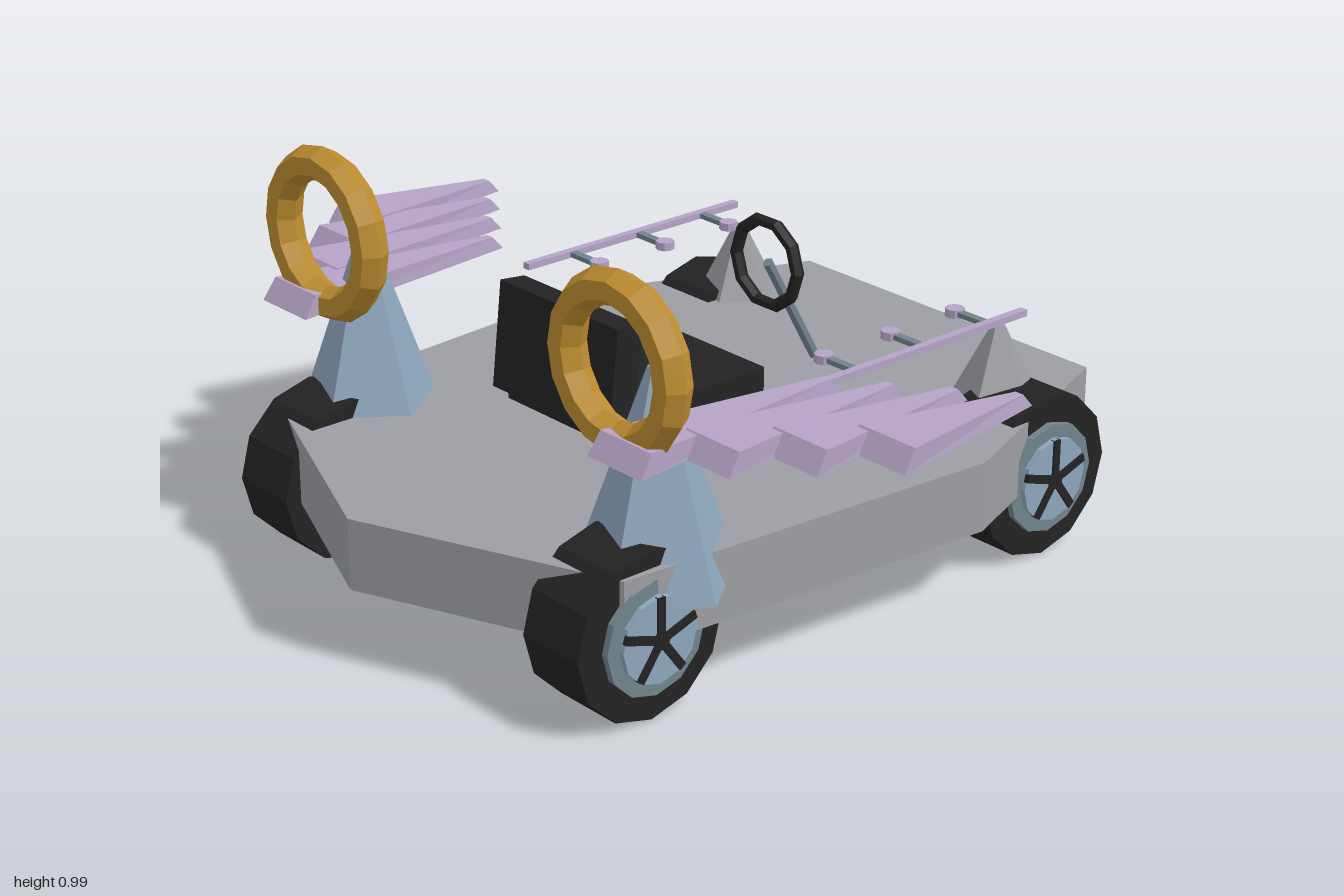
import * as THREE from 'three';

const mat = (name, color) => {
  const m = new THREE.MeshStandardMaterial({ color });
  m.name = name;
  return m;
};

// Faceted copy of a geometry
const facet = (g) => {
  const f = g.index ? g.toNonIndexed() : g;
  f.computeVertexNormals();
  return f;
};

export function createModel() {
  const grey = mat('bodyGrey', 0x9d9ea3);
  const blue = mat('coneBlue', 0x8ea6bd);
  const steel = mat('steelGrey', 0x71848c);
  const black = mat('black', 0x232323);
  const gold = mat('gold', 0xbd8c30);
  const lilac = mat('lilac', 0xb5a3c6);

  const model = new THREE.Group();
  const add = (parent, name, geo, material, x = 0, y = 0, z = 0) => {
    const mesh = new THREE.Mesh(facet(geo), material);
    mesh.name = name;
    mesh.position.set(x, y, z);
    parent.add(mesh);
    return mesh;
  };
  const box = (w, h, d) => new THREE.BoxGeometry(w, h, d);
  const rodX = (r, length, sides) =>
    new THREE.CylinderGeometry(r, r, length, sides).rotateZ(Math.PI / 2);

  // Chassis slab with a pointed front
  const outline = [[0, 0.91], [0.62, 0.66], [0.7, -0.33], [0.48, -0.915],
    [-0.48, -0.915], [-0.7, -0.33], [-0.62, 0.66]];
  const shape = new THREE.Shape(outline.map(([x, z]) => new THREE.Vector2(x, -z)));
  add(model, 'chassis',
    new THREE.ExtrudeGeometry(shape, { depth: 0.17, bevelEnabled: false }).rotateX(-Math.PI / 2),
    grey, 0, 0.185, 0);

  // Wheel with rim, hub disc and five spokes on its outer side
  const wheel = (name, side, z) => {
    const g = new THREE.Group();
    g.name = name;
    g.position.set(side * 0.521, 0.2, z);
    add(g, 'tyre', rodX(0.2, 0.178, 12), black);
    add(g, 'rim', rodX(0.135, 0.02, 12), steel, side * 0.096);
    add(g, 'hubDisc', rodX(0.102, 0.02, 12), blue, side * 0.109);
    add(g, 'hubCap', rodX(0.022, 0.016, 10), black, side * 0.117);
    for (let i = 0; i < 5; i++) {
      const spoke = box(0.012, 0.1, 0.02).translate(0, 0.05, 0).rotateX(i * Math.PI * 0.4);
      add(g, 'spoke', spoke, black, side * 0.118);
    }
    model.add(g);
  };

  // Five-sided pylon, one edge towards +x
  const pylon = (name, material, x, z, rTop, rBase, y0, y1) =>
    add(model, name,
      new THREE.CylinderGeometry(rTop, rBase, y1 - y0, 5).rotateY(Math.PI / 2),
      material, x, (y0 + y1) / 2, z);

  // Tapered feather: wide at the front, narrow at the back, bottom longer than top
  const feather = (length) => {
    const g = box(1, 1, 1);
    const p = g.attributes.position;
    for (let i = 0; i < p.count; i++) {
      const top = p.getY(i) > 0;
      const front = p.getZ(i) > 0;
      const half = front ? (top ? 0.08 : 0.084) : 0.011;
      p.setXYZ(i, Math.sign(p.getX(i)) * half,
        top ? (front ? 0.05 : 0.034) : 0,
        front ? (top ? -0.033 : 0) : -length + (top ? 0.03 : 0));
    }
    return g;
  };

  for (const side of [-1, 1]) {
    const label = side > 0 ? 'left' : 'right';
    wheel(label + 'FrontWheel', side, 0.578);
    wheel(label + 'RearWheel', side, -0.635);
    pylon(label + 'FrontPylon', blue, side * 0.51, 0.475, 0.02, 0.188, 0.265, 0.75);
    pylon(label + 'RearPylon', grey, side * 0.445, -0.635, 0.014, 0.13, 0.3, 0.533);

    // Upright ring above the front wheel
    add(model, label + 'Ring', new THREE.TorusGeometry(0.167, 0.042, 6, 16),
      gold, side * 0.512, 0.783, 0.578);

    // Wing of four stepped feathers
    const wing = new THREE.Group();
    wing.name = label + 'Wing';
    for (let i = 0; i < 4; i++) {
      add(wing, 'feather', feather(0.63 - i * 0.057), lilac,
        side * (0.583 + i * 0.11), 0.596, 0.655 - i * 0.14);
    }
    model.add(wing);

    // Side rail with three knobbed pegs
    const rail = new THREE.Group();
    rail.name = label + 'Rail';
    rail.position.set(side * 0.495, 0.568, 0);
    add(rail, 'railBar', box(0.02, 0.016, 0.68), lilac, 0, 0, -0.325);
    for (const z of [-0.125, -0.335, -0.545]) {
      add(rail, 'peg', box(0.1, 0.012, 0.02), steel, side * -0.05, 0, z);
      add(rail, 'knob', new THREE.CylinderGeometry(0.023, 0.023, 0.02, 8), lilac,
        side * -0.106, 0, z);
    }
    model.add(rail);
  }

  // Seat facing the steering wheel, its back leaning forward a little
  const seat = new THREE.Group();
  seat.name = 'seat';
  add(seat, 'seatCushion', box(0.41, 0.09, 0.42), black, 0, 0.445, 0.095);
  const back = new THREE.Group();
  back.name = 'seatBack';
  back.position.set(0, 0.565, 0.3);
  back.rotation.x = -0.11;
  add(back, 'backFrame', box(0.41, 0.255, 0.07), black);
  add(back, 'backPanel', box(0.31, 0.17, 0.02), steel, 0, 0.005, -0.036);
  seat.add(back);
  model.add(seat);

  // Steering wheel and its slanted column
  add(model, 'steeringWheel', new THREE.TorusGeometry(0.105, 0.016, 6, 10), black, 0, 0.637, -0.312);
  const from = new THREE.Vector3(0, 0.33, -0.49);
  const to = new THREE.Vector3(0, 0.637, -0.315);
  const dir = to.clone().sub(from);
  const column = add(model, 'steeringColumn',
    new THREE.CylinderGeometry(0.014, 0.014, dir.length(), 6), steel);
  column.position.copy(from).add(to).multiplyScalar(0.5);
  column.quaternion.setFromUnitVectors(new THREE.Vector3(0, 1, 0), dir.normalize());

  return model;
}
